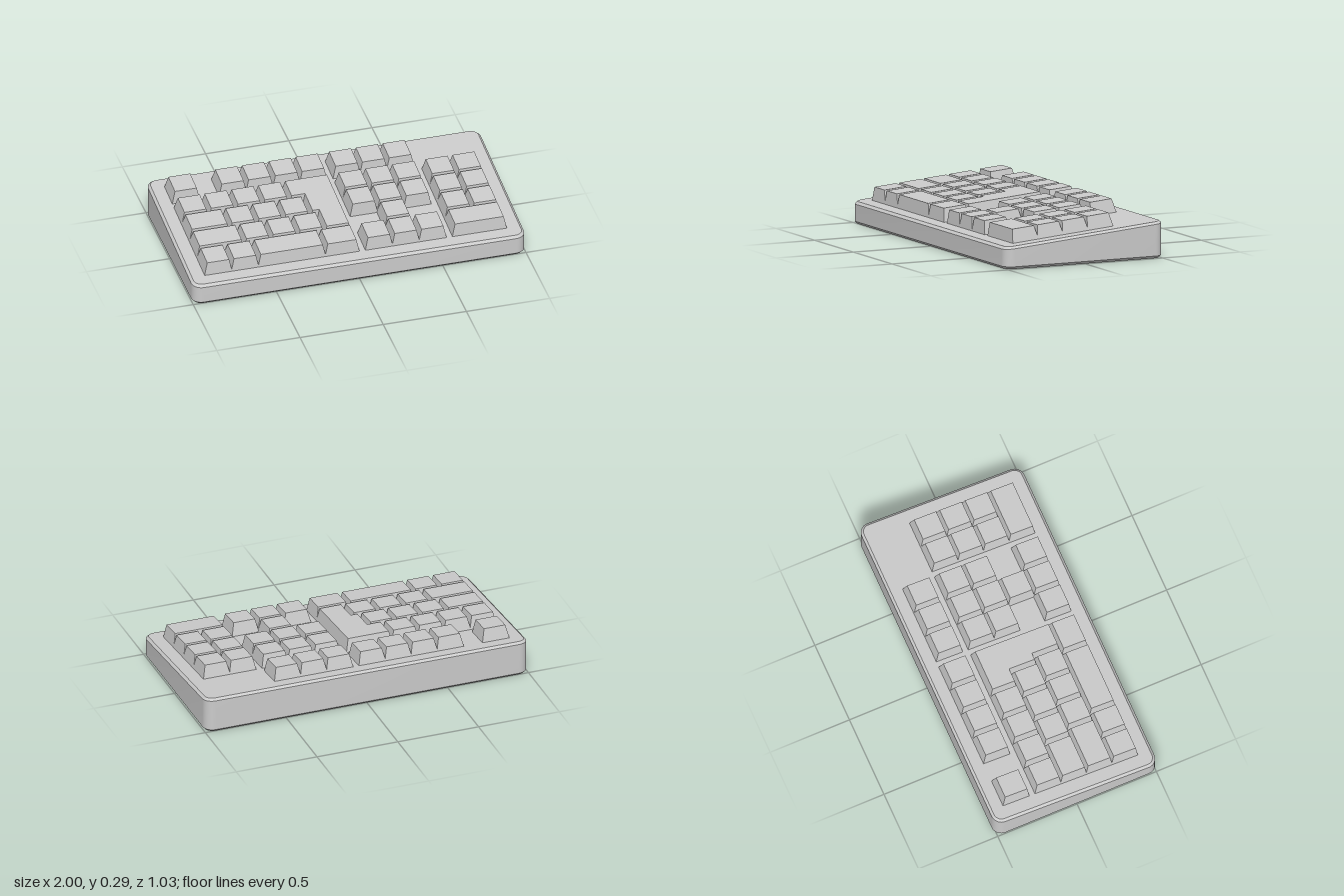
import * as THREE from 'three';
import { toCreasedNormals } from 'three/addons/utils/BufferGeometryUtils.js';

const U = 0.161;                                // one key unit
const X0 = -0.907, FRONT = 0.42;                // front left corner of the key field
const plateY = z => 0.1735 - 0.087 * z;         // sloping top of the case

const material = new THREE.MeshStandardMaterial({ color: 0xcccccc });

// Joins rings of [x, y, z] points from bottom to top and caps both ends.
function loft(rings) {
  const pos = [], n = rings[0].length;
  const tri = (a, b, c) => pos.push(...a, ...b, ...c);
  for (let r = 0; r < rings.length - 1; r++) {
    const lo = rings[r], up = rings[r + 1];
    for (let i = 0; i < n; i++) {
      const j = (i + 1) % n;
      tri(lo[i], up[i], lo[j]);
      tri(lo[j], up[i], up[j]);
    }
  }
  const cap = (ring, facesUp) => {
    const flat = ring.map(p => new THREE.Vector2(p[0], p[2]));
    for (const [a, b, c] of THREE.ShapeUtils.triangulateShape(flat, [])) {
      const turn = flat[b].clone().sub(flat[a]).cross(flat[c].clone().sub(flat[a]));
      if ((turn < 0) === facesUp) tri(ring[a], ring[b], ring[c]);
      else tri(ring[a], ring[c], ring[b]);
    }
  };
  cap(rings[0], false);
  cap(rings[rings.length - 1], true);
  const geo = new THREE.BufferGeometry();
  geo.setAttribute('position', new THREE.Float32BufferAttribute(pos, 3));
  return toCreasedNormals(geo, 0.4);
}

// Rounded rectangle ring, inset from the case footprint.
function caseRing(inset, height) {
  const R = 0.06, r = R - inset, ring = [], steps = 8;
  for (let q = 0; q < 4; q++) {
    const sx = q === 0 || q === 3 ? 1 : -1, sz = q < 2 ? 1 : -1;
    for (let i = 0; i <= steps; i++) {
      const a = (q + i / steps) * Math.PI / 2;
      const x = sx * (1 - R) + r * Math.cos(a);
      const z = sz * (0.513 - R) + r * Math.sin(a);
      ring.push([x, height(z), z]);
    }
  }
  return ring;
}

// Tapered keycap over a right-angled outline given in key units [across, back].
function keycap(outline) {
  const pts = outline.map(([u, v]) => [X0 + u * U, FRONT - v * U]);
  const n = pts.length;
  const ring = (offset, lift) => pts.map((p, i) => {
    const q = [p[0], p[1]];
    for (const [a, b] of [[pts[(i + n - 1) % n], p], [p, pts[(i + 1) % n]]]) {
      const dx = b[0] - a[0], dz = b[1] - a[1], len = Math.hypot(dx, dz);
      const nx = dz / len, nz = -dx / len, d = offset(nz);
      q[0] += nx * d;
      q[1] += nz * d;
    }
    return [q[0], plateY(q[1]) + lift, q[1]];
  });
  // steep front, leaning back and sides
  const taper = nz => (nz > 0.5 ? -0.003 : nz < -0.5 ? -0.019 : -0.015);
  return loft([ring(() => 0.003, -0.001), ring(taper, 0.08)]);
}

const rect = (u, v, w) => [[u, v + 1], [u + w, v + 1], [u + w, v], [u, v]];

export function createModel() {
  const model = new THREE.Group();
  const add = (parent, name, geo) => {
    const mesh = new THREE.Mesh(geo, material);
    mesh.name = name;
    parent.add(mesh);
  };

  // Wedge-shaped case with chamfered top and bottom rims
  add(model, 'case', loft([
    caseRing(0.015, () => 0),
    caseRing(0, () => 0.015),
    caseRing(0, z => plateY(z) - 0.0135),
    caseRing(0.015, plateY),
  ]));

  // Rows from front to back: distance back, then [start, width] of each key
  const rows = [
    ['frontRow', 0, [[0, 1], [1, 1], [2, 2.5], [4.5, 1.25], [6, 1], [7, 1], [8, 1], [9.25, 2]]],
    ['lowerRow', 1, [[0, 1.75], [1.75, 1], [2.75, 1], [3.75, 1], [7, 1], [9.25, 1], [10.25, 1]]],
    ['middleRow', 2, [[0, 1.5], [1.5, 1], [2.5, 1], [3.5, 1], [6, 1], [7, 1], [8, 1], [9.25, 1], [10.25, 1]]],
    ['upperRow', 3, [[0, 1], [1, 1], [2, 1], [3, 1], [6, 1], [7, 1], [8, 1], [9.25, 1], [10.25, 1]]],
    ['functionRow', 4.25, [[0, 1], [1.75, 1], [2.75, 1], [3.75, 1], [4.75, 1], [6, 1], [7, 1], [8, 1]]],
  ];
  for (const [name, v, keys] of rows) {
    const row = new THREE.Group();
    row.name = name;
    for (const [u, w] of keys) add(row, w > 1 ? 'wideKey' : 'key', keycap(rect(u, v, w)));
    model.add(row);
  }

  // Large stepped key across three rows
  add(model, 'enterKey', keycap([
    [4, 4], [5.75, 4], [5.75, 1], [4.75, 1], [4.75, 2], [4.5, 2], [4.5, 3], [4, 3],
  ]));

  return model;
}
